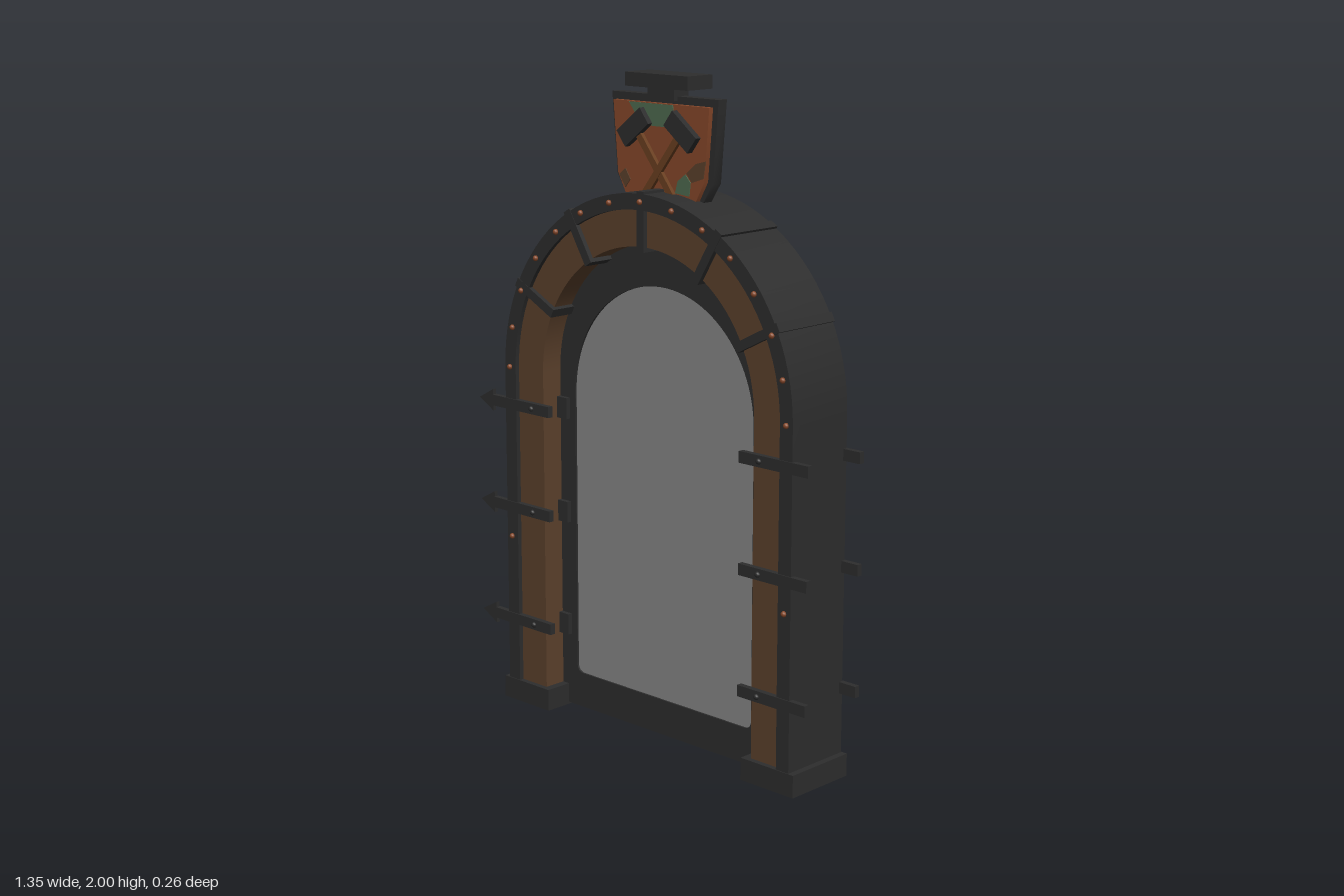
import * as THREE from 'three';
import { toCreasedNormals } from 'three/addons/utils/BufferGeometryUtils.js';

const CX = 0.025;      // centre line of the arch
const SPRING = 1.08;   // height where the arch starts to curve

const mat = (name, color) => {
  const m = new THREE.MeshStandardMaterial({ color });
  m.name = name;
  return m;
};

export function createModel() {
  const iron = mat('dark iron', 0x2d2d2d);
  const wood = mat('brown wood', 0x5c412c);
  const glass = mat('grey pane', 0x888888);
  const copper = mat('copper', 0x87482a);
  const patina = mat('green patina', 0x4f6b50);
  const handleWood = mat('handle wood', 0x6b4020);
  const root = new THREE.Group();
  root.name = 'archedGate';

  const add = (parent, name, geo, material, x = 0, y = 0, z = 0) => {
    const m = new THREE.Mesh(geo, material);
    m.name = name;
    m.position.set(x, y, z);
    parent.add(m);
    return m;
  };
  const box = (parent, name, material, w, h, d, x, y, z) =>
    add(parent, name, new THREE.BoxGeometry(w, h, d), material, x, y, z);
  const extrude = (shape, half) => {
    const g = new THREE.ExtrudeGeometry(shape, { depth: half * 2, bevelEnabled: false, curveSegments: 24 });
    g.translate(0, 0, -half);
    return toCreasedNormals(g, 0.5);
  };
  const poly = (pts) => new THREE.Shape(pts.map(([x, y]) => new THREE.Vector2(x, y)));

  // Round-topped door outline, with optional cut bottom corners
  const door = (r, bottom, spring, cut = 0, Type = THREE.Shape) => {
    const s = new Type();
    s.moveTo(CX - r + cut, bottom);
    s.lineTo(CX + r - cut, bottom);
    if (cut) s.quadraticCurveTo(CX + r, bottom, CX + r, bottom + cut);
    s.lineTo(CX + r, spring);
    s.absarc(CX, spring, r, 0, Math.PI, false);
    if (cut) {
      s.lineTo(CX - r, bottom + cut);
      s.quadraticCurveTo(CX - r, bottom, CX - r + cut, bottom);
    } else s.lineTo(CX - r, bottom);
    return s;
  };
  // Upside-down U between two radii
  const arch = (ro, ri, bottom) => {
    const s = new THREE.Shape();
    s.moveTo(CX + ri, bottom);
    s.lineTo(CX + ro, bottom);
    s.lineTo(CX + ro, SPRING);
    s.absarc(CX, SPRING, ro, 0, Math.PI, false);
    s.lineTo(CX - ro, bottom);
    s.lineTo(CX - ri, bottom);
    s.lineTo(CX - ri, SPRING);
    s.absarc(CX, SPRING, ri, Math.PI, 0, true);
    s.lineTo(CX + ri, bottom);
    return s;
  };

  // Arch frame
  add(root, 'outerShell', extrude(arch(0.585, 0.538, 0.03), 0.116), iron);
  add(root, 'woodFrame', extrude(arch(0.54, 0.43, 0.03), 0.102), wood);

  // Inner panel and pane
  const panel = door(0.432, 0.01, SPRING);
  panel.holes.push(door(0.365, 0.12, 1.02, 0.03, THREE.Path));
  add(root, 'innerPanel', extrude(panel, 0.03), iron);
  add(root, 'pane', extrude(door(0.366, 0.119, 1.02, 0.03), 0.024), glass);

  // Feet with wooden undersides
  for (const s of [-1, 1]) {
    box(root, 'foot', iron, 0.2, 0.068, 0.238, CX + s * 0.505, 0.037, 0);
    box(root, 'footUnderside', wood, 0.165, 0.005, 0.2, CX + s * 0.505, 0.0025, 0);
  }

  // Radial straps wrapping the arch
  for (const deg of [27, 59, 90, 121, 153]) {
    const a = THREE.MathUtils.degToRad(deg);
    const strap = new THREE.Group();
    strap.name = 'archStrap';
    strap.position.set(CX, SPRING, 0);
    strap.rotation.z = a;
    box(strap, 'strapBand', iron, 0.15, 0.028, 0.234, 0.492, 0, 0);
    box(strap, 'strapCap', iron, 0.03, 0.028, 0.234, 0.577, 0, 0);
    root.add(strap);
  }

  // Rivets along the shell rim, front and back
  const rivet = new THREE.SphereGeometry(0.009, 8, 6);
  for (const z of [-0.118, 0.118]) {
    for (let i = 0; i <= 14; i++) {
      const a = (i / 14) * Math.PI;
      add(root, 'rivet', rivet, copper, CX + 0.562 * Math.cos(a), SPRING + 0.562 * Math.sin(a), z);
    }
    for (const s of [-1, 1]) add(root, 'rivet', rivet, copper, CX + s * 0.562, 0.54, z);
  }

  // Side straps: arrow heads on one side, plain ends on the other
  const arrow = poly([[-0.68, 0], [-0.618, -0.034], [-0.618, 0.034]]);
  for (const y of [0.272, 0.635, 0.963]) {
    for (const z of [-0.111, 0.111]) {
      box(root, 'sideStrap', iron, 0.255, 0.034, 0.018, -0.4925, y, z);
      add(root, 'arrowHead', extrude(arrow, 0.006), iron, 0, y, z);
      box(root, 'sideStrap', iron, 0.255, 0.034, 0.018, 0.5425, y, z);
      for (const s of [-1, 1])
        add(root, 'strapRivet', rivet, iron, CX + s * 0.465, y, z * 1.08);
    }
    for (const s of [-1, 1])
      box(root, 'panelBlock', iron, 0.042, 0.066, 0.09, CX + s * 0.41, y, 0);
  }

  // Crest: dark backing, neck and cap
  const backing = poly([[-0.12, 1.63], [0.17, 1.63], [0.215, 1.7], [0.236, 1.938], [-0.186, 1.938], [-0.165, 1.7]]);
  add(root, 'crestRim', extrude(backing, 0.017), iron);
  box(root, 'crestNeck', iron, 0.106, 0.04, 0.06, 0.023, 1.945, 0);
  box(root, 'crestCap', iron, 0.248, 0.04, 0.102, 0.024, 1.98, 0);

  // Crest face, built around the centre line and repeated on the back
  const plate = poly([[-0.136, 1.64], [0.136, 1.64], [0.172, 1.705], [0.19, 1.916], [-0.19, 1.916], [-0.172, 1.705]]);
  const patches = [
    [patina, [[-0.125, 1.914], [-0.085, 1.865], [-0.03, 1.85], [0.03, 1.85], [0.055, 1.88], [0.05, 1.914]]],
    [patina, [[0.06, 1.665], [0.115, 1.66], [0.12, 1.7], [0.1, 1.722], [0.07, 1.7]]],
    [wood, [[0.105, 1.725], [0.125, 1.70], [0.17, 1.715], [0.178, 1.765], [0.14, 1.755]]],
    [wood, [[-0.165, 1.70], [-0.14, 1.665], [-0.12, 1.69], [-0.14, 1.72]]],
  ];
  for (const turn of [0, Math.PI]) {
    const face = new THREE.Group();
    face.name = turn ? 'crestBack' : 'crestFront';
    face.position.x = CX;
    face.rotation.y = turn;
    add(face, 'crestPlate', extrude(plate, 0.009), copper, 0, 0, 0.024);
    for (const [m, pts] of patches) add(face, 'crestPatch', extrude(poly(pts), 0.002), m, 0, 0, 0.0335);
    // Crossed hammers
    for (const s of [-1, 1]) {
      const hammer = new THREE.Group();
      hammer.name = 'hammer';
      hammer.position.set(s * 0.094, 1.843, 0.04);
      hammer.rotation.z = -s * 0.66;
      box(hammer, 'hammerHead', iron, 0.118, 0.056, 0.026, 0, 0, 0);
      box(hammer, 'hammerHandle', handleWood, 0.022, 0.235, 0.012, 0, -0.125, s * 0.001);
      face.add(hammer);
    }
    root.add(face);
  }
  return root;
}
